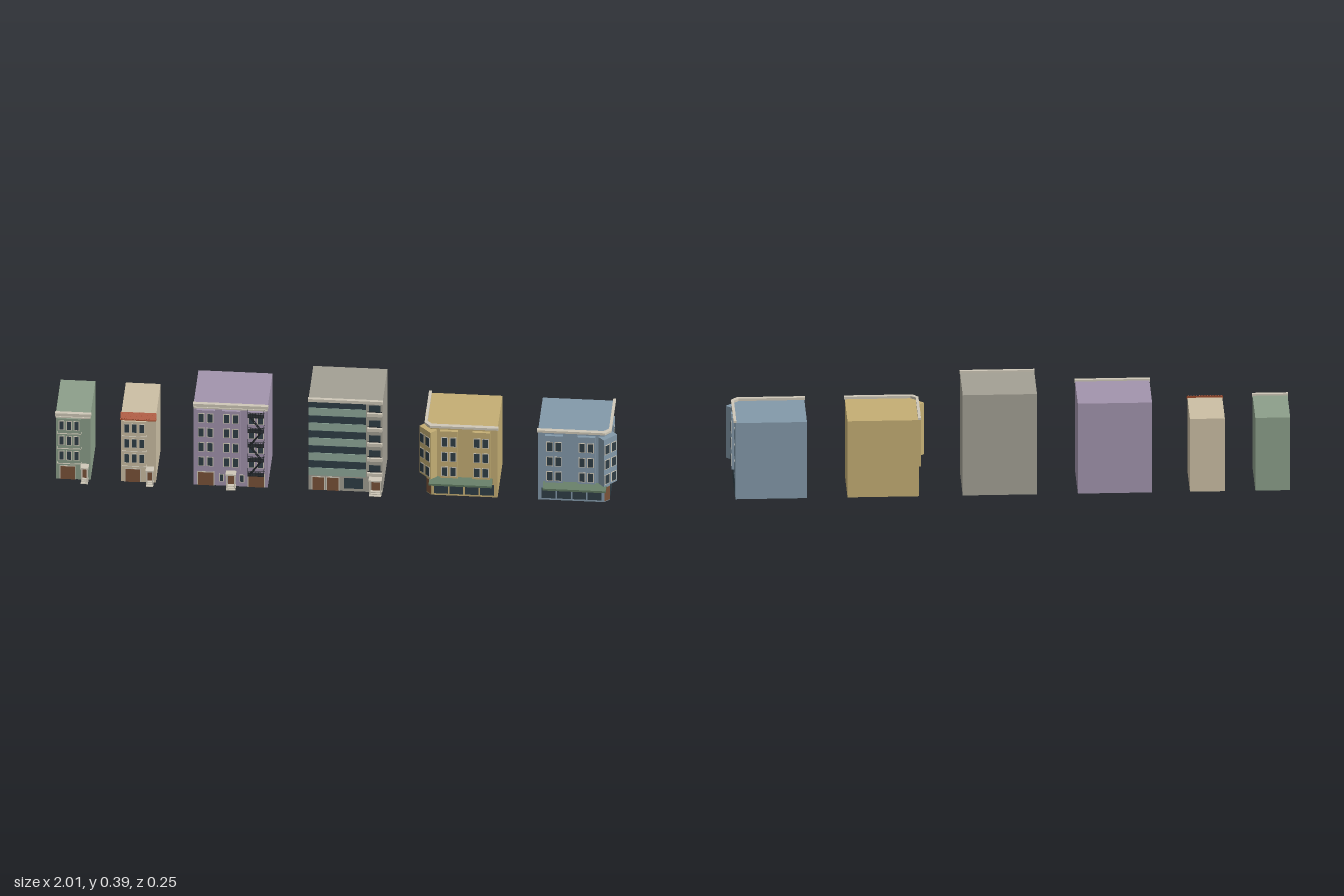
import * as THREE from 'three';

const mats = {};
const mat = (c) => (mats[c] ??= new THREE.MeshStandardMaterial({ color: c, flatShading: true }));
const GLASS = 0x2f3e46, TRIM = 0xcfc8b8, WOOD = 0x7a5238, GREEN = 0x5e7860, TEAL = 0x8fa99b, TILE = 0xa9502f, IRON = 0x202428;
const BACK = -0.127, FRONT = 0.09, DEPTH = FRONT - BACK;

function add(parent, name, geo, color) {
  const m = new THREE.Mesh(geo, mat(color));
  m.name = name;
  parent.add(m);
  return m;
}

// box given by centre x, bottom y, back z and sizes
function box(parent, name, color, x, y, z, w, h, d) {
  const m = add(parent, name, new THREE.BoxGeometry(w, h, d), color);
  m.position.set(x, y + h / 2, z + d / 2);
  return m;
}

// profile in (z, y) swept along x, centred on x
function sweep(parent, name, color, x, len, profile) {
  const shape = new THREE.Shape(profile.map(([z, y]) => new THREE.Vector2(z, y)));
  const geo = new THREE.ExtrudeGeometry(shape, { depth: len, bevelEnabled: false });
  geo.rotateY(-Math.PI / 2).translate(x + len / 2, 0, 0);
  return add(parent, name, geo, color);
}

// footprint in (x, z) raised from y by h
function prism(parent, name, color, pts, y, h) {
  const shape = new THREE.Shape(pts.map(([x, z]) => new THREE.Vector2(x, -z)));
  const geo = new THREE.ExtrudeGeometry(shape, { depth: h, bevelEnabled: false });
  geo.rotateX(-Math.PI / 2).translate(0, y, 0);
  return add(parent, name, geo, color);
}

function group(parent, name, x = 0, y = 0, z = 0, turn = 0) {
  const g = new THREE.Group();
  g.name = name;
  g.position.set(x, y, z);
  g.rotation.y = turn;
  parent.add(g);
  return g;
}

// framed window, centred on x and y, on a wall at z
function windowUnit(parent, x, y, z, w, h) {
  const g = group(parent, 'window', x, y, z);
  box(g, 'windowFrame', TRIM, 0, -h / 2, -0.001, w, h, 0.002);
  box(g, 'windowGlass', GLASS, 0, -h / 2 + 0.003, 0, w - 0.006, h - 0.006, 0.002);
}

// shallow bay with a grid of windows; the wall is at z = 0
function bay(parent, color, x, y0, y1, w, out, inward, cols, floors, ww, wh) {
  const g = group(parent, 'bayWindow', x);
  box(g, 'bayBody', color, 0, y0, -inward, w, y1 - y0, out + inward);
  for (const y of floors)
    for (let i = 0; i < cols; i++)
      windowUnit(g, (i - (cols - 1) / 2) * (w / cols) * 0.96, y, out, ww, wh);
}

// door with steps, two posts and a small canopy
function entrance(parent, x, w = 0.026) {
  const g = group(parent, 'entrance', x, 0, FRONT);
  box(g, 'door', WOOD, 0, 0.008, 0, w * 0.7, 0.045, 0.002);
  for (let i = 0; i < 3; i++) box(g, 'step', TRIM, 0, 0, 0, w, 0.009 - i * 0.003, 0.014 + i * 0.008);
  for (const s of [-1, 1]) box(g, 'porchPost', TRIM, s * (w / 2 - 0.003), 0.009, 0.02, 0.004, 0.053, 0.006);
  box(g, 'porchCanopy', TRIM, 0, 0.062, 0, w + 0.003, 0.006, 0.03);
}

function garage(parent, x, w) {
  box(parent, 'garageFrame', TRIM, x, 0, FRONT, w + 0.006, 0.058, 0.001);
  box(parent, 'garageDoor', WOOD, x, 0, FRONT, w, 0.054, 0.002);
}

function cornice(parent, w, top) {
  box(parent, 'corniceLower', TRIM, 0, top - 0.016, FRONT, w, 0.005, 0.007);
  box(parent, 'corniceUpper', TRIM, 0, top - 0.006, FRONT - 0.003, w + 0.004, 0.012, 0.014);
}

// iron landings, rails and sloping ladders
function fireEscape(parent, x, levels) {
  const g = group(parent, 'fireEscape', x, 0, FRONT);
  const w = 0.058;
  levels.forEach((y, i) => {
    box(g, 'landing', IRON, 0, y, 0.014, w, 0.003, 0.022);
    for (const ry of [0.01, 0.02]) {
      box(g, 'frontRail', IRON, 0, y + ry, 0.034, w, 0.0015, 0.0015);
      for (const s of [-1, 1]) box(g, 'sideRail', IRON, s * w / 2, y + ry, 0.014, 0.0015, 0.0015, 0.021);
    }
    for (let k = 0; k <= 6; k++) box(g, 'railPost', IRON, (k / 6 - 0.5) * w, y, 0.034, 0.0015, 0.021, 0.0015);
    if (i < levels.length - 1) {
      const rise = levels[i + 1] - y;
      for (const z of [0.019, 0.029]) {
        const l = box(g, 'ladder', IRON, 0, y + rise / 2 - 0.0015, z, Math.hypot(0.045, rise), 0.003, 0.002);
        l.rotation.z = (i % 2 ? -1 : 1) * Math.atan2(rise, 0.045);
      }
    }
  });
}

// narrow house: garage, entrance and a three window wide bay
function rowHouse(root, name, color, cx, tiled) {
  const g = group(root, name, cx);
  const w = 0.125, top = 0.28, floors = [0.108, 0.172, 0.236];
  box(g, 'body', color, 0, 0, BACK, w, top, DEPTH);
  const front = group(g, 'facade', 0, 0, FRONT);
  bay(front, color, -0.014, 0.074, 0.265, 0.084, 0.012, 0, 3, floors, 0.021, 0.04);
  for (const y of [0.072, 0.136, 0.2]) box(front, 'bayBand', TRIM, -0.014, y, 0, 0.087, 0.003, 0.014);
  garage(g, -0.02, 0.052);
  entrance(g, 0.042);
  if (tiled) {
    sweep(g, 'tiledEave', TILE, 0, w + 0.004, [[0.076, 0.288], [0.078, 0.276], [0.103, 0.27], [0.103, 0.274]]);
    for (let i = 0; i < 13; i++) {
      const t = box(g, 'tileRidge', TILE, (i - 6) * 0.0098, 0.279, 0.076, 0.004, 0.004, 0.027);
      t.rotation.x = 0.48;
    }
  } else cornice(g, w, top);
}

// wide house with three pairs of windows and a fire escape
function apartmentHouse(root, cx) {
  const g = group(root, 'apartmentHouse', cx);
  const color = 0xa294ad, w = 0.266, floors = [0.11, 0.172, 0.234, 0.296];
  box(g, 'body', color, 0, 0, BACK, w, 0.346, DEPTH);
  const front = group(g, 'facade', 0, 0, FRONT);
  for (const x of [-0.089, 0.002, 0.092]) bay(front, color, x, 0.075, 0.328, 0.066, 0.014, 0, 2, floors, 0.024, 0.04);
  cornice(g, w, 0.346);
  garage(g, -0.089, 0.056);
  garage(g, 0.092, 0.056);
  for (const x of [-0.033, 0.04]) windowUnit(g, x, 0.034, FRONT, 0.018, 0.032);
  entrance(g, 0.002, 0.034);
  fireEscape(g, 0.092, [0.068, 0.13, 0.192, 0.254, 0.318]);
}

// flat block with ribbon windows and a column of balconies
function modernBlock(root, cx) {
  const g = group(root, 'modernBlock', cx);
  const w = 0.266, floors = 5, step = 0.064;
  box(g, 'body', 0xa3a094, 0, 0, BACK, w, 0.386, DEPTH);
  box(g, 'roofEdge', TRIM, 0, 0.381, FRONT - 0.002, w + 0.002, 0.012, 0.012);
  for (let i = 0; i < floors; i++) {
    const y = 0.064 + i * step;
    box(g, 'spandrel', TEAL, -0.029, y, FRONT, 0.206, 0.032, 0.004);
    box(g, 'ribbonWindow', GLASS, -0.029, y + 0.032, FRONT, 0.206, step - 0.034, 0.002);
    box(g, 'balconyDoor', GLASS, 0.105, y + 0.017, FRONT, 0.042, 0.034, 0.001);
    box(g, 'balconySlab', TRIM, 0.105, y + 0.008, FRONT, 0.054, 0.013, 0.01);
    box(g, 'balconyRail', IRON, 0.105, y + 0.028, FRONT + 0.008, 0.052, 0.002, 0.002);
  }
  for (const x of [-0.098, -0.046]) garage(g, x, 0.042);
  box(g, 'lobbyGlass', GLASS, 0.028, 0.012, FRONT, 0.068, 0.044, 0.002);
  entrance(g, 0.108, 0.044);
}

// shop on a corner lot; s = 1 cuts the left front corner, s = -1 the right
function cornerShop(root, name, color, cx, s) {
  const g = group(root, name, cx);
  const X = 0.128, c = 0.018, top = 0.293, floors = [0.11, 0.173, 0.236];
  const flip = (pts) => pts.map(([x, z]) => [x * s, z]);
  prism(g, 'body', color, flip([[-X, BACK], [X, BACK], [X, FRONT - c], [X - c, FRONT], [-X, FRONT]]), 0, top);
  prism(g, 'cornice', TRIM, flip([
    [-X - 0.003, FRONT + 0.011], [X - c + 0.004, FRONT + 0.011], [X + 0.007, FRONT - c + 0.006], [X + 0.007, BACK],
    [X - 0.003, BACK], [X - 0.003, FRONT - c - 0.003], [X - c - 0.003, FRONT - 0.004], [-X - 0.003, FRONT - 0.004],
  ]), top, 0.009);

  // street front with shop windows below an awning
  const front = group(g, 'frontFacade', 0, 0, FRONT);
  for (const x of [-0.07, 0.046]) bay(front, color, s * x, 0.082, 0.281, 0.064, 0.012, 0, 2, floors, 0.025, 0.041);
  for (let i = 0; i < 4; i++) box(front, 'shopWindow', GLASS, s * (-0.09 + i * 0.055), 0.008, 0, 0.049, 0.044, 0.002);
  sweep(front, 'awning', GREEN, s * 0.004, 0.226, [[0, 0.058], [0.03, 0.058], [0.03, 0.066], [0, 0.08]]);

  // cut corner with its door and bay
  const corner = group(g, 'cornerFacade', s * (X - c / 2), 0, FRONT - c / 2, s * Math.PI / 4);
  box(corner, 'cornerDoor', WOOD, 0, 0.003, 0, 0.024, 0.057, 0.001);
  bay(corner, color, 0, 0.082, 0.281, 0.062, 0.0185, 0.012, 2, floors, 0.024, 0.041);

  // side street front
  const side = group(g, 'sideFacade', s * X, 0, -0.0195, s * Math.PI / 2);
  bay(side, color, s * -0.0035, 0.082, 0.281, 0.062, 0.01, 0, 1, floors, 0.029, 0.041);
  for (const z of [-0.0615, 0.067]) for (const y of floors) windowUnit(side, s * z, y, 0, 0.029, 0.041);
  box(side, 'shopWindow', GLASS, 0, 0.008, 0, 0.162, 0.05, 0.002);
}

export function createModel() {
  const root = new THREE.Group();
  root.name = 'streetBuildings';
  rowHouse(root, 'greenRowHouse', 0x8c9f8a, -0.937, false);
  rowHouse(root, 'tanRowHouse', 0xccbfa4, -0.703, true);
  apartmentHouse(root, -0.372);
  modernBlock(root, 0.04);
  cornerShop(root, 'yellowCornerShop', 0xc4ae74, 0.4575, -1);
  cornerShop(root, 'blueCornerShop', 0x8399aa, 0.8585, 1);
  return root;
}
